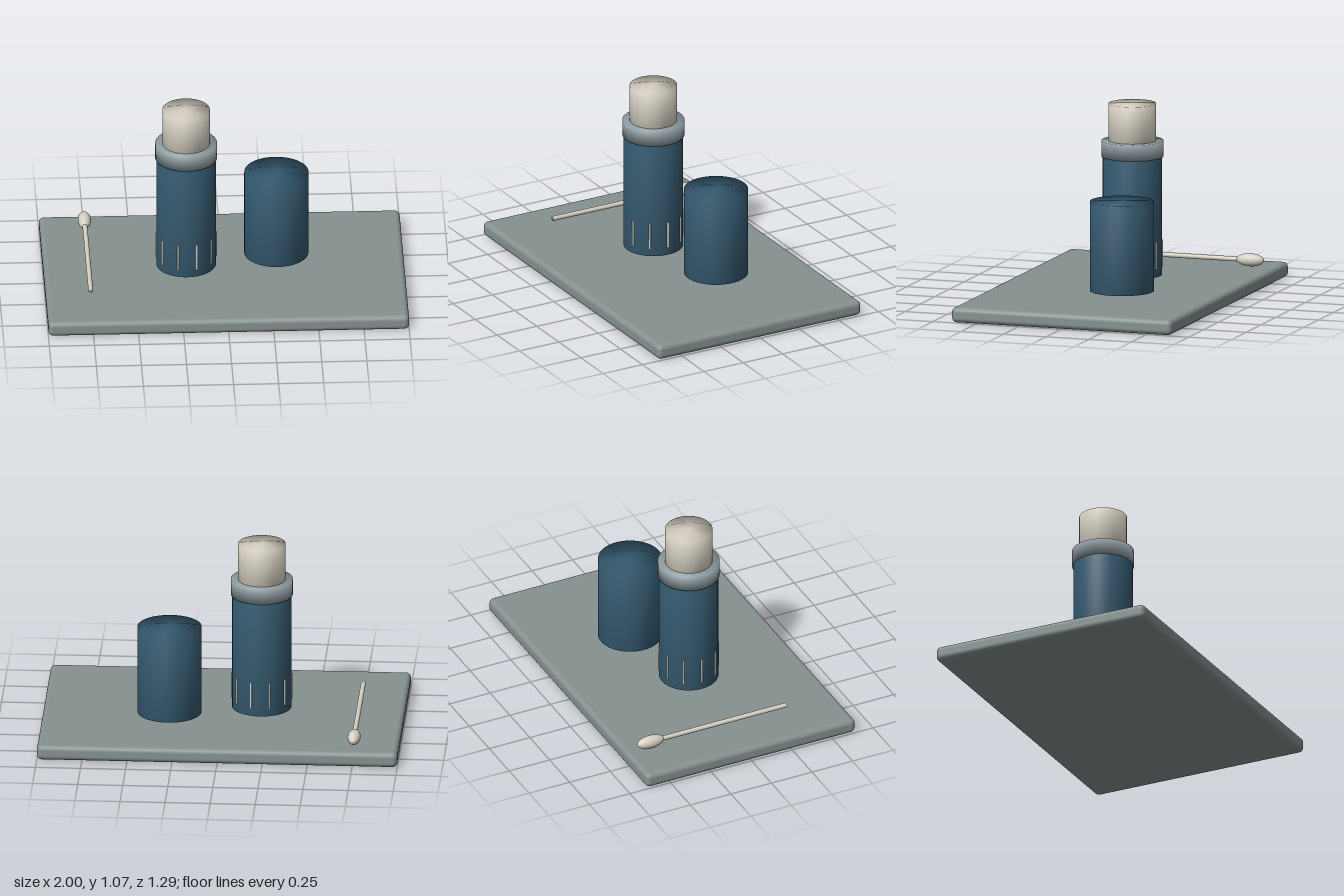
import * as THREE from 'three';
import { mergeVertices } from 'three/addons/utils/BufferGeometryUtils.js';
import { RoundedBoxGeometry } from 'three/addons/geometries/RoundedBoxGeometry.js';

const material = (name, color) => {
  const m = new THREE.MeshStandardMaterial({ color });
  m.name = name;
  return m;
};

// Cylinder whose rim normals are shared between wall and caps
function softCylinder(radius, height, sides = 48) {
  const g = new THREE.CylinderGeometry(radius, radius, height, sides);
  g.deleteAttribute('uv');
  g.deleteAttribute('normal');
  const merged = mergeVertices(g, 1e-4);
  merged.computeVertexNormals();
  return merged;
}

export function createModel() {
  const slate = material('slate grey', 0x869290);
  const steel = material('steel grey', 0x8d9a9f);
  const blue = material('deep blue', 0x355a70);
  const cream = material('cream', 0xd6d0c2);

  const model = new THREE.Group();
  model.name = 'flaskSet';

  const add = (parent, name, geometry, mat, x = 0, y = 0, z = 0) => {
    const mesh = new THREE.Mesh(geometry, mat);
    mesh.name = name;
    mesh.position.set(x, y, z);
    parent.add(mesh);
    return mesh;
  };
  const column = (parent, name, mat, radius, bottom, top) =>
    add(parent, name, softCylinder(radius, top - bottom), mat, 0, (bottom + top) / 2, 0);

  // Tray
  add(model, 'tray', new RoundedBoxGeometry(2, 0.085, 1.29, 4, 0.028), slate, 0, 0.0425, 0);

  // Flask: body, collar and stopper
  const flask = new THREE.Group();
  flask.name = 'flask';
  flask.position.x = -0.21;
  model.add(flask);
  column(flask, 'flaskBody', blue, 0.165, 0.107, 0.79);
  column(flask, 'flaskCollar', steel, 0.172, 0.772, 0.862);
  column(flask, 'flaskStopper', cream, 0.132, 0.85, 1.07);

  // Ten slim grip ribs around the lower body
  const ribGeometry = softCylinder(0.006, 0.15, 8);
  for (let i = 0; i < 10; i++) {
    const a = THREE.MathUtils.degToRad(18 + 36 * i);
    add(flask, 'gripRib', ribGeometry, cream, 0.165 * Math.sin(a), 0.228, 0.165 * Math.cos(a));
  }

  // Cup
  const cup = new THREE.Group();
  cup.name = 'cup';
  cup.position.set(0.295, 0, -0.114);
  model.add(cup);
  column(cup, 'cupBody', blue, 0.178, 0.107, 0.61);

  // Spoon lying along z, with its bowl toward the back
  const spoon = new THREE.Group();
  spoon.name = 'spoon';
  spoon.position.set(-0.753, 0.127, 0);
  model.add(spoon);
  const handle = add(spoon, 'spoonHandle', softCylinder(0.0135, 0.785, 20), cream, 0, 0, -0.0575);
  handle.rotation.x = Math.PI / 2;
  const bowl = add(spoon, 'spoonBowl', new THREE.SphereGeometry(1, 32, 20), cream, 0, 0, -0.502);
  bowl.scale.set(0.036, 0.036, 0.081);

  return model;
}
